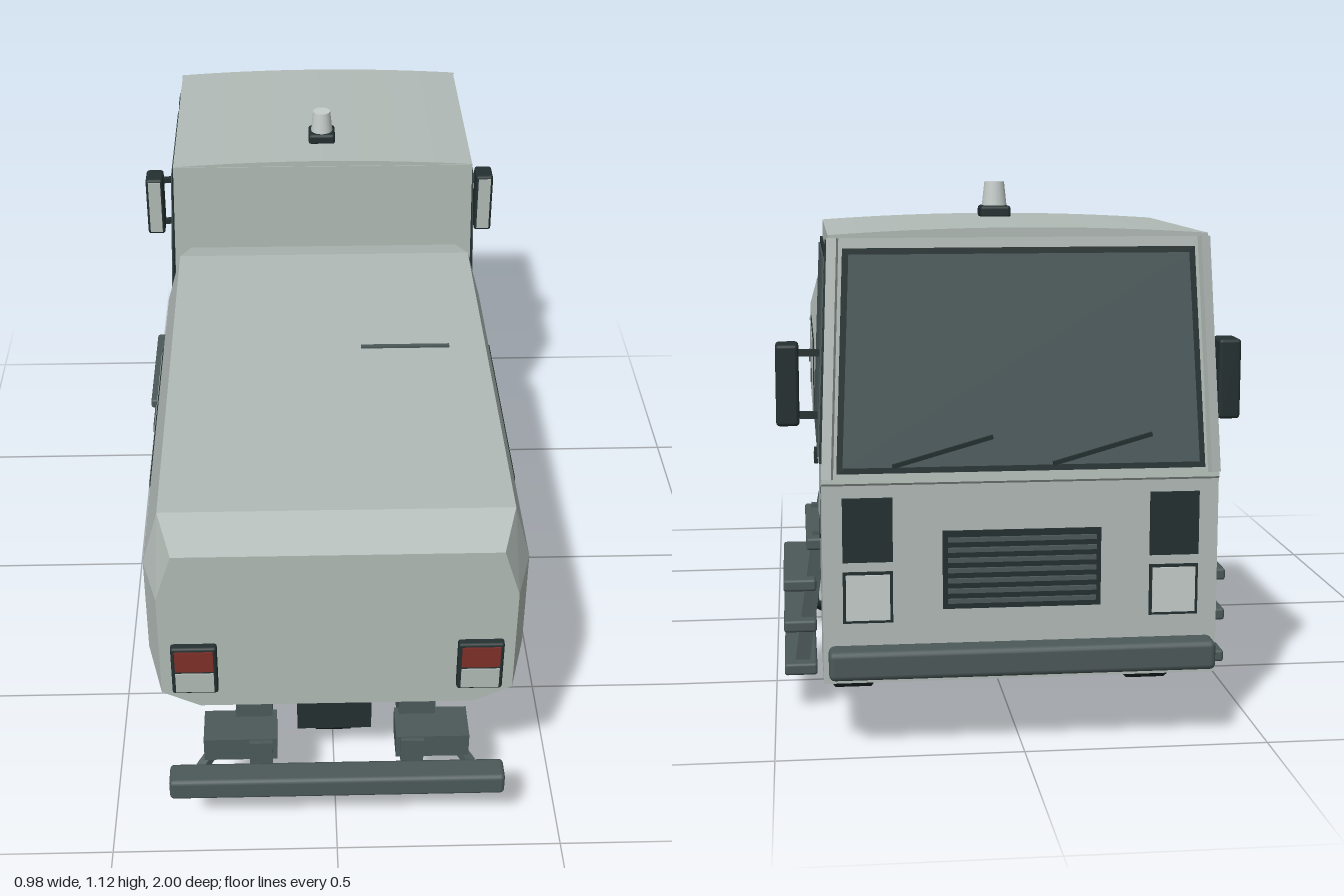
import * as THREE from 'three';
import { ConvexGeometry } from 'three/addons/geometries/ConvexGeometry.js';
import { RoundedBoxGeometry } from 'three/addons/geometries/RoundedBoxGeometry.js';

const mat = (name, color, extra = {}) => {
  const m = new THREE.MeshStandardMaterial({ color, ...extra });
  m.name = name;
  return m;
};

export function createModel() {
  const root = new THREE.Group();
  root.name = 'streetSweeper';
  const body = mat('bodyGrey', 0xb2bbb7);
  const dark = mat('darkTrim', 0x243030);
  const liner = mat('darkLiner', 0x243030, { side: THREE.DoubleSide });
  const steel = mat('chassisGrey', 0x4c5959);
  const glass = mat('glass', 0x4a5859);
  const rubber = mat('rubber', 0x1e2727);
  const red = mat('redLamp', 0x80302a);
  const silver = mat('silver', 0xc6cecb);

  const V = (x, y, z) => new THREE.Vector3(x, y, z);
  const add = (name, geo, m, x = 0, y = 0, z = 0, parent = root) => {
    const mesh = new THREE.Mesh(geo, m);
    mesh.name = name;
    mesh.position.set(x, y, z);
    parent.add(mesh);
    return mesh;
  };
  // Box given by its extents
  const box = (name, m, x0, x1, y0, y1, z0, z1) =>
    add(name, new THREE.BoxGeometry(x1 - x0, y1 - y0, z1 - z0), m, (x0 + x1) / 2, (y0 + y1) / 2, (z0 + z1) / 2);
  const rbox = (name, m, x0, x1, y0, y1, z0, z1, r = 0.01) =>
    add(name, new RoundedBoxGeometry(x1 - x0, y1 - y0, z1 - z0, 2, r), m, (x0 + x1) / 2, (y0 + y1) / 2, (z0 + z1) / 2);
  // Bar between two points, square or round
  const bar = (name, m, a, b, w, h = w, round = false) => {
    const len = a.distanceTo(b);
    const geo = round ? new THREE.CylinderGeometry(w, w, len, 16).rotateX(Math.PI / 2) : new THREE.BoxGeometry(w, h, len);
    const mesh = add(name, geo, m);
    mesh.position.copy(a).add(b).multiplyScalar(0.5);
    mesh.lookAt(b);
    return mesh;
  };
  const poly = (pts) => new THREE.Shape(pts.map(([u, v]) => new THREE.Vector2(u, v)));
  const rect = (u0, u1, v0, v1) => [[u0, v0], [u1, v0], [u1, v1], [u0, v1]];
  const extrude = (shape, depth) =>
    new THREE.ExtrudeGeometry(shape, { depth, bevelEnabled: false, curveSegments: 24 });

  // Cab surface rules: sides lean in and the windscreen leans back above the waist
  const lean = (y) => Math.max(0, (y - 0.55) / 0.48);
  const cabX = (y) => 0.4 - 0.02 * lean(y);
  const cabZ = (y) => (y < 0.55 ? -0.945 : -0.95 + 0.06 * lean(y));
  const tankX = () => 0.4;

  // Thin plate on a side wall, points are (-z, y)
  const sidePlate = (name, m, s, pts, t, wall = cabX) => {
    const g = extrude(poly(pts), t).rotateY(Math.PI / 2);
    const p = g.attributes.position;
    for (let i = 0; i < p.count; i++) {
      const x = wall(p.getY(i));
      p.setX(i, p.getX(i) + (s > 0 ? x : -x - t));
    }
    g.computeVertexNormals();
    return add(name, g, m);
  };
  // Thin plate on the cab face, points are (x, y)
  const facePlate = (name, m, pts, t) => {
    const g = extrude(poly(pts.map(([x, y]) => [-x, y])), t).rotateY(Math.PI);
    const p = g.attributes.position;
    for (let i = 0; i < p.count; i++) p.setZ(i, p.getZ(i) + cabZ(p.getY(i)));
    g.computeVertexNormals();
    return add(name, g, m);
  };

  // Hopper tank
  const tankPts = [];
  const section = (z, pts) => pts.forEach(([x, y]) => tankPts.push(V(x, y, z), V(-x, y, z)));
  const full = [[0.29, 0.405], [0.4, 0.49], [0.4, 0.722], [0.365, 0.85]];
  section(0.955, [[0.29, 0.405], [0.37, 0.445], [0.37, 0.7], [0.335, 0.81]]);
  section(0.86, full);
  section(-0.19, full);
  section(-0.26, [[0.29, 0.405], [0.37, 0.485], [0.37, 0.72], [0.34, 0.835]]);
  add('hopperTank', new ConvexGeometry(tankPts), body);
  box('topHandle', steel, 0.075, 0.28, 0.848, 0.855, 0.245, 0.255);

  // Cab shell with wheel arches
  const cab = new THREE.Shape();
  cab.moveTo(0.315, 0.14);
  [[0.315, 1.035], [0.89, 1.035], [0.95, 0.55], [0.945, 0.545], [0.945, 0.14], [0.729, 0.14]].forEach(([u, v]) => cab.lineTo(u, v));
  cab.absarc(0.53, 0.19, 0.205, -0.246, Math.PI + 0.246, false);
  const cabGeo = extrude(cab, 0.8).translate(0, 0, -0.4).rotateY(Math.PI / 2);
  const cp = cabGeo.attributes.position;
  for (let i = 0; i < cp.count; i++) cp.setX(i, Math.sign(cp.getX(i)) * cabX(cp.getY(i)));
  cabGeo.computeVertexNormals();
  add('cabShell', cabGeo, body);
  const roof = new THREE.Shape();
  roof.moveTo(-0.38, 1.03);
  roof.lineTo(0.38, 1.03);
  roof.lineTo(0.38, 1.036);
  roof.quadraticCurveTo(0, 1.062, -0.38, 1.036);
  add('cabRoof', extrude(roof, 0.575), body, 0, 0, -0.892);
  add('archLiner', new THREE.CylinderGeometry(0.203, 0.203, 0.79, 24, 1, true, 0, Math.PI)
    .rotateZ(Math.PI / 2), liner, 0, 0.19, -0.53);
  box('cabUnderside', dark, -0.25, 0.25, 0.15, 0.37, -0.735, -0.33);
  box('noseUnderside', dark, -0.37, 0.37, 0.133, 0.145, -0.92, -0.735);
  box('rearMudguard', dark, -0.39, 0.39, 0.15, 0.385, -0.314, -0.306);

  // Windscreen, wipers, grille and headlamps
  facePlate('windscreenFrame', dark, [[-0.37, 0.57], [0.37, 0.57], [0.352, 1.01], [-0.352, 1.01]], 0.005);
  facePlate('windscreen', glass, [[-0.358, 0.582], [0.358, 0.582], [0.34, 0.998], [-0.34, 0.998]], 0.008);
  for (const x of [0.26, -0.06]) bar('wiper', dark, V(x, 0.585, -0.96), V(x - 0.2, 0.64, -0.953), 0.008);
  facePlate('grille', dark, rect(-0.16, 0.16, 0.29, 0.45), 0.005);
  for (let i = 0; i < 7; i++) box('grilleSlat', steel, -0.15, 0.15, 0.302 + i * 0.021, 0.311 + i * 0.021, -0.956, -0.948);
  rbox('cabBumper', steel, -0.39, 0.39, 0.16, 0.22, -1, -0.94, 0.012);

  for (const s of [1, -1]) {
    const X = (a, b) => (s > 0 ? [a, b] : [-b, -a]);
    facePlate('noseVent', dark, rect(...X(0.26, 0.36), 0.39, 0.52), 0.006);
    facePlate('headlampFrame', dark, rect(...X(0.26, 0.36), 0.265, 0.37), 0.004);
    facePlate('headlamp', silver, rect(...X(0.266, 0.354), 0.271, 0.364), 0.007);
    bar('windscreenPillar', body, V(s * 0.388, 0.56, -0.952), V(s * 0.37, 1.03, -0.893), 0.02);

    // Door windows
    sidePlate('doorWindowFrame', dark, s, rect(0.355, 0.758, 0.585, 1.0), 0.005);
    sidePlate('doorWindow', glass, s, rect(0.367, 0.746, 0.597, 0.988), 0.008);
    sidePlate('quarterWindowFrame', dark, s, [[0.79, 0.585], [0.918, 0.585], [0.87, 1.0], [0.79, 1.0]], 0.005);
    sidePlate('quarterWindow', glass, s, [[0.8, 0.597], [0.904, 0.597], [0.861, 0.988], [0.8, 0.988]], 0.008);
    sidePlate('doorSeam', dark, s, rect(0.773, 0.777, 0.4, 1.02), 0.003);
    sidePlate('doorHandle', dark, s, rect(0.375, 0.44, 0.492, 0.518), 0.008);
    sidePlate('doorHandleGrip', silver, s, rect(0.384, 0.431, 0.5, 0.51), 0.0095);

    // Tank side hatch
    sidePlate('hatchSeam', dark, s, rect(-0.585, -0.04, 0.523, 0.718), 0.003, tankX);
    sidePlate('hatchPanel', body, s, rect(-0.579, -0.046, 0.529, 0.712), 0.005, tankX);
    for (const z of [0.51, 0.12]) {
      sidePlate('hatchHandle', steel, s, rect(-z - 0.004, -z + 0.004, 0.595, 0.63), 0.009, tankX);
      sidePlate('hatchHandleTop', steel, s, rect(-z - 0.004, -z + 0.016, 0.624, 0.631), 0.009, tankX);
    }

    // Tail lamps
    rbox('tailLampFrame', dark, ...X(0.25, 0.346), 0.455, 0.58, 0.945, 0.972, 0.006);
    box('redLamp', red, ...X(0.258, 0.338), 0.519, 0.572, 0.965, 0.975);
    box('whiteLamp', body, ...X(0.258, 0.338), 0.463, 0.513, 0.965, 0.975);

    // Mirror
    rbox('mirrorHousing', dark, ...X(0.44, 0.488), 0.635, 0.805, -0.77, -0.7, 0.008);
    box('mirrorGlass', body, ...X(0.447, 0.481), 0.643, 0.797, -0.703, -0.697);
    for (const y of [0.655, 0.785]) bar('mirrorArm', dark, V(s * 0.385, y, -0.75), V(s * 0.45, y, -0.74), 0.014);

    // Boarding steps
    for (const [y, w] of [[0.37, 0.43], [0.28, 0.48], [0.19, 0.48], [0.095, 0.48]])
      rbox('stepBoard', steel, ...X(w - 0.07, w), y - 0.013, y + 0.013, -0.71, -0.36, 0.006);
    for (const z of [-0.4, -0.67]) bar('stepRail', steel, V(s * 0.4, 0.39, z), V(s * 0.445, 0.08, z), 0.02, 0.03);

    // Chassis beam and tank supports
    box('chassisBeam', steel, ...X(0.14, 0.19), 0.21, 0.272, -0.35, 0.94);
    box('tankSupport', steel, ...X(0.14, 0.22), 0.25, 0.41, 0.77, 0.86);
    box('beamEnd', steel, ...X(0.13, 0.29), 0.215, 0.275, 0.84, 0.93);
    bar('supportBrace', steel, V(s * 0.3, 0.16, 0.9), V(s * 0.2, 0.25, 0.8), 0.02);
    bar('tiltCylinder', body, V(s * 0.25, 0.41, -0.05), V(s * 0.25, 0.21, -0.24), 0.035, 0.035, true);

    // Side broom with arm, strut and shield
    const broom = [[0, 0.045], [0.115, 0.045], [0.14, 0.06], [0.143, 0.075], [0.13, 0.1], [0.1, 0.105], [0.09, 0.13], [0, 0.132]];
    const brush = add('sideBroom', new THREE.LatheGeometry(broom.map(([r, y]) => new THREE.Vector2(r, y)), 20), rubber, s * 0.3, 0, -0.02);
    brush.material = rubber;
    add('broomMotor', new THREE.CylinderGeometry(0.026, 0.026, 0.1, 16), silver, s * 0.3, 0.175, -0.02);
    bar('broomArm', steel, V(s * 0.17, 0.2, 0.12), V(s * 0.3, 0.2, -0.02), 0.025);
    add('broomPivot', new THREE.CylinderGeometry(0.025, 0.025, 0.07, 16), silver, s * 0.22, 0.22, 0.09);
    bar('broomStrutUpper', steel, V(s * 0.33, 0.42, 0.25), V(s * 0.37, 0.34, 0.25), 0.018);
    bar('broomStrutLower', steel, V(s * 0.37, 0.345, 0.255), V(s * 0.33, 0.2, -0.01), 0.018);
    bar('broomHanger', steel, V(s * 0.36, 0.42, 0.16), V(s * 0.4, 0.21, 0.16), 0.016);
    box('broomShield', dark, ...X(0.396, 0.408), 0.125, 0.225, -0.03, 0.18);
  }

  // Rear bumper, cross members and duct
  rbox('tailBumper', steel, -0.365, 0.365, 0.165, 0.218, 0.94, 1, 0.01);
  for (const z of [0.25, -0.1]) box('crossMember', steel, -0.16, 0.16, 0.22, 0.26, z - 0.025, z + 0.025);
  box('suctionDuct', dark, 0.08, 0.27, 0.2, 0.41, -0.29, -0.2);

  // Wheels
  const wheel = (name, x, z, w) => {
    const g = new THREE.Group();
    g.name = name;
    g.position.set(x, 0.19, z);
    const h = w / 2;
    const tyre = [[0.1, -h + 0.01], [0.11, -h], [0.16, -h], [0.187, -h + 0.02], [0.187, h - 0.02], [0.16, h], [0.11, h], [0.1, h - 0.01]];
    add('tyre', new THREE.LatheGeometry(tyre.map(([r, y]) => new THREE.Vector2(r, y)), 32).rotateZ(Math.PI / 2), rubber, 0, 0, 0, g);
    add('rimDisc', new THREE.CylinderGeometry(0.1, 0.1, w - 0.04, 24).rotateZ(Math.PI / 2), steel, 0, 0, 0, g);
    add('hub', new THREE.CylinderGeometry(0.03, 0.03, w, 16).rotateZ(Math.PI / 2), silver, 0, 0, 0, g);
    for (const s of [1, -1]) {
      add('rimRing', new THREE.TorusGeometry(0.094, 0.01, 8, 28).rotateY(Math.PI / 2), silver, s * (h - 0.008), 0, 0, g);
      for (let i = 0; i < 6; i++) {
        const a = (i * Math.PI) / 3;
        const spoke = add('spoke', new THREE.BoxGeometry(0.012, 0.07, 0.025), silver, s * (h - 0.014), 0.06 * Math.cos(a), 0.06 * Math.sin(a), g);
        spoke.rotation.x = a;
      }
    }
    root.add(g);
  };
  wheel('leftCabWheel', 0.33, -0.53, 0.12);
  wheel('rightCabWheel', -0.33, -0.53, 0.12);
  wheel('centreWheel', 0, 0.555, 0.12);

  // Centre wheel guard and its mount
  const guard = new THREE.Shape();
  guard.moveTo(0.205, 0.135);
  guard.lineTo(0.205, 0.24);
  guard.lineTo(0.175, 0.27);
  guard.absarc(0, 0.19, 0.19, 0.43, Math.PI - 0.43, false);
  guard.lineTo(-0.205, 0.24);
  guard.lineTo(-0.205, 0.135);
  guard.lineTo(-0.119, 0.135);
  guard.absarc(0, 0.19, 0.131, Math.PI + 0.434, -0.434, true);
  add('wheelGuard', extrude(guard, 0.17).translate(0, 0, -0.085).rotateY(Math.PI / 2), dark, 0, 0, 0.555);
  box('wheelGuardMount', dark, -0.085, 0.085, 0.34, 0.41, 0.505, 0.605);

  // Roof beacon
  rbox('beaconBase', dark, -0.034, 0.034, 1.045, 1.073, -0.484, -0.416, 0.008);
  add('beacon', new THREE.CylinderGeometry(0.022, 0.028, 0.055, 16), silver, 0, 1.098, -0.45);

  return root;
}
